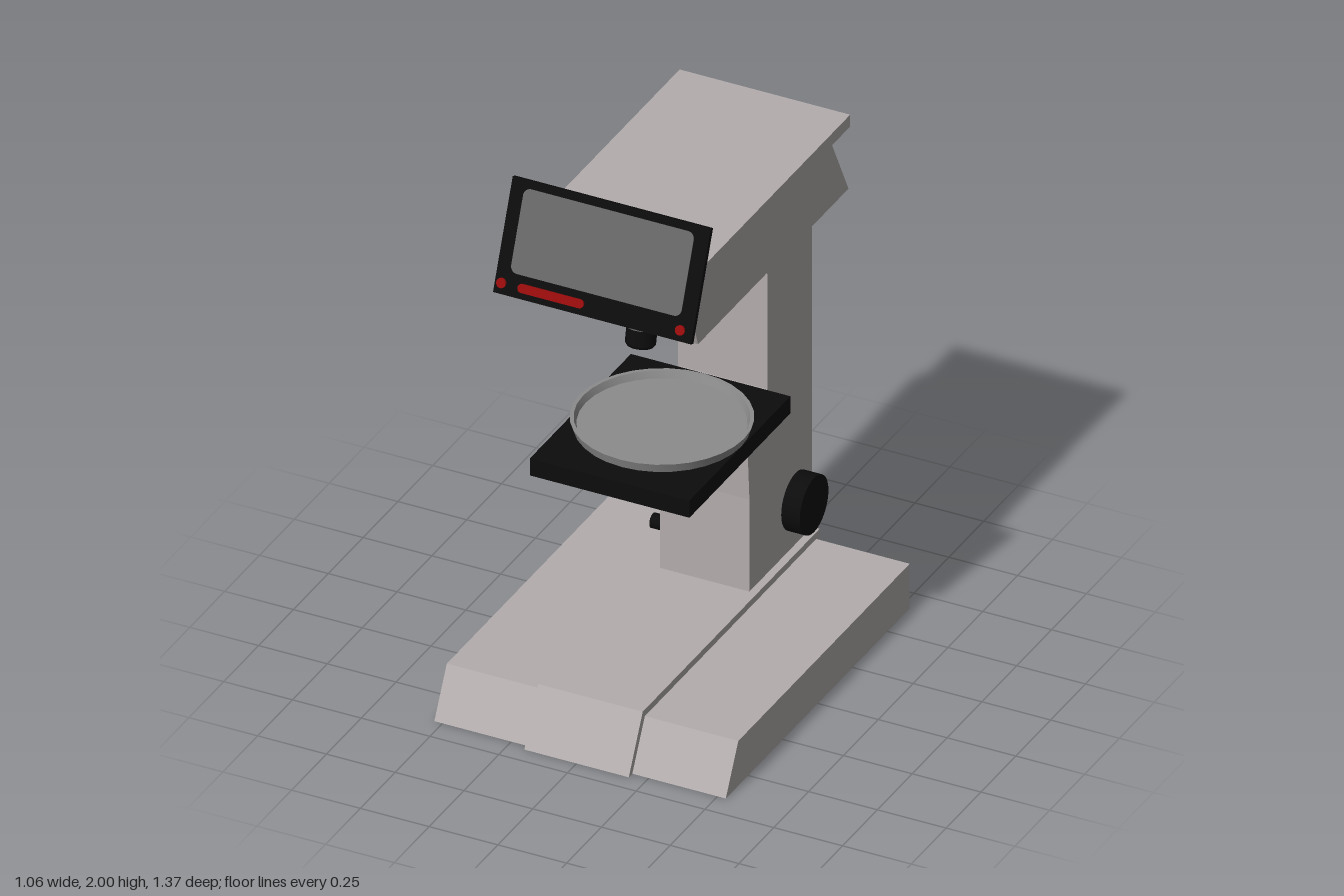
import * as THREE from 'three';
import { toCreasedNormals } from 'three/addons/utils/BufferGeometryUtils.js';

const material = (name, color) => {
  const m = new THREE.MeshStandardMaterial({ color });
  m.name = name;
  return m;
};

export function createModel() {
  const group = new THREE.Group();
  const body = material('warm grey body', 0xb4adad);
  const black = material('black', 0x0c0c0c);
  const metal = material('grey metal', 0x8c8c8c);
  const glass = material('screen grey', 0x666666);
  const red = material('red', 0x960c0c);

  const add = (name, geometry, mat, parent = group, x = 0, y = 0, z = 0) => {
    const mesh = new THREE.Mesh(geometry, mat);
    mesh.name = name;
    mesh.position.set(x, y, z);
    parent.add(mesh);
    return mesh;
  };

  // Side profile of [z, y] points, extruded across the width
  const sideProfile = (points, halfWidth) => {
    const shape = new THREE.Shape(points.map(([z, y]) => new THREE.Vector2(z, y)));
    const g = new THREE.ExtrudeGeometry(shape, { depth: halfWidth * 2, bevelEnabled: false });
    return g.rotateY(-Math.PI / 2).translate(halfWidth, 0, 0);
  };
  const lathe = (points, segments) => toCreasedNormals(
    new THREE.LatheGeometry(points.map(([r, y]) => new THREE.Vector2(r, y)), segments), 0.5);

  // Base: broad foot with a raised centre strip
  add('baseFoot', sideProfile([[0.66, 0], [0.57, 0.17], [-0.66, 0.17], [-0.66, 0]], 0.53), body);
  add('baseCentre', sideProfile([[0.685, 0], [0.585, 0.195], [-0.685, 0.195], [-0.685, 0]], 0.19), body);

  // Column with the stage bracket
  add('column', sideProfile([
    [-0.683, 0.19], [-0.235, 0.19], [-0.235, 0.545], [-0.222, 0.74], [-0.1, 0.84], [0.11, 0.84],
    [0.11, 0.895], [-0.363, 0.895], [-0.363, 1.335], [-0.215, 1.545], [-0.61, 1.545], [-0.683, 1.335],
  ], 0.1625), body);

  // Head
  add('head', sideProfile([
    [0.425, 1.54], [0.505, 1.765], [0.467, 1.885], [0.357, 1.815],
    [-0.667, 1.815], [-0.667, 1.77], [-0.537, 1.77], [-0.655, 1.54],
  ], 0.31), body);

  // Tilted display; its own z axis points out of the screen
  const display = new THREE.Group();
  display.name = 'display';
  display.position.set(0, 1.813, 0.495);
  display.rotation.x = -0.372;
  group.add(display);
  add('displayPanel', new THREE.BoxGeometry(0.72, 0.39, 0.018), black, display);

  const roundedPlate = (w, h, r, depth) => {
    const s = new THREE.Shape();
    const corners = [[1, 1, 0], [-1, 1, 0.5], [-1, -1, 1], [1, -1, 1.5]];
    for (const [sx, sy, a] of corners) {
      s.absarc(sx * (w / 2 - r), sy * (h / 2 - r), r, a * Math.PI, (a + 0.5) * Math.PI, false);
    }
    return new THREE.ExtrudeGeometry(s, { depth, bevelEnabled: false, curveSegments: 6 });
  };
  add('screen', roundedPlate(0.62, 0.285, 0.025, 0.003), glass, display, -0.002, 0.026, 0.008);
  add('redBar', roundedPlate(0.24, 0.03, 0.0149, 0.008), red, display, -0.155, -0.158, 0.008);
  for (const x of [-0.335, 0.315]) {
    add('redButton', roundedPlate(0.034, 0.034, 0.0169, 0.008), red, display, x, -0.158, 0.008);
  }

  // Revolving nosepiece with three objectives
  const turretZ = 0.085;
  add('nosepiece', lathe([
    [0, 1.47], [0.17, 1.47], [0.205, 1.483], [0.235, 1.51], [0.26, 1.545], [0, 1.545],
  ], 40), black, group, 0, 0, turretZ);

  const objectives = [[0, 1.25, 0.21], [2 * Math.PI / 3, 1, 0.33], [-2 * Math.PI / 3, 1, 0.33]];
  for (const [turn, size, lean] of objectives) {
    const arm = new THREE.Group();
    arm.name = 'objective';
    arm.position.set(Math.sin(turn) * 0.115, 1.475, turretZ + Math.cos(turn) * 0.115);
    arm.rotation.set(-lean, turn, 0, 'YXZ');
    group.add(arm);
    add('objectiveCollar', lathe([
      [0, -0.07], [0.042 * size, -0.07], [0.053 * size, -0.05], [0.053 * size, 0.02], [0, 0.02],
    ], 24), metal, arm);
    add('objectiveTip', lathe([
      [0, -0.135], [0.036 * size, -0.135], [0.041 * size, -0.125], [0.041 * size, -0.06], [0, -0.06],
    ], 24), black, arm);
  }

  // Stage and shallow flared dish
  add('stage', new THREE.BoxGeometry(0.58, 0.065, 0.725), black, group, 0, 0.9185, 0.085);
  add('stageDish', lathe([
    [0, 0.945], [0.287, 0.945], [0.3, 0.985], [0.287, 0.985], [0.278, 0.96], [0, 0.96],
  ], 32), metal, group, 0, 0, 0.072);

  // Focus knobs
  const knob = (name, r, length, x, y, z) => {
    add(name, new THREE.CylinderGeometry(r, r, length, 32), black, group, x, y, z).rotation.z = Math.PI / 2;
  };
  knob('focusKnob', 0.103, 0.075, 0.1925, 0.362, -0.566);
  knob('smallKnob', 0.026, 0.065, -0.189, 0.325, -0.3);

  return group;
}
